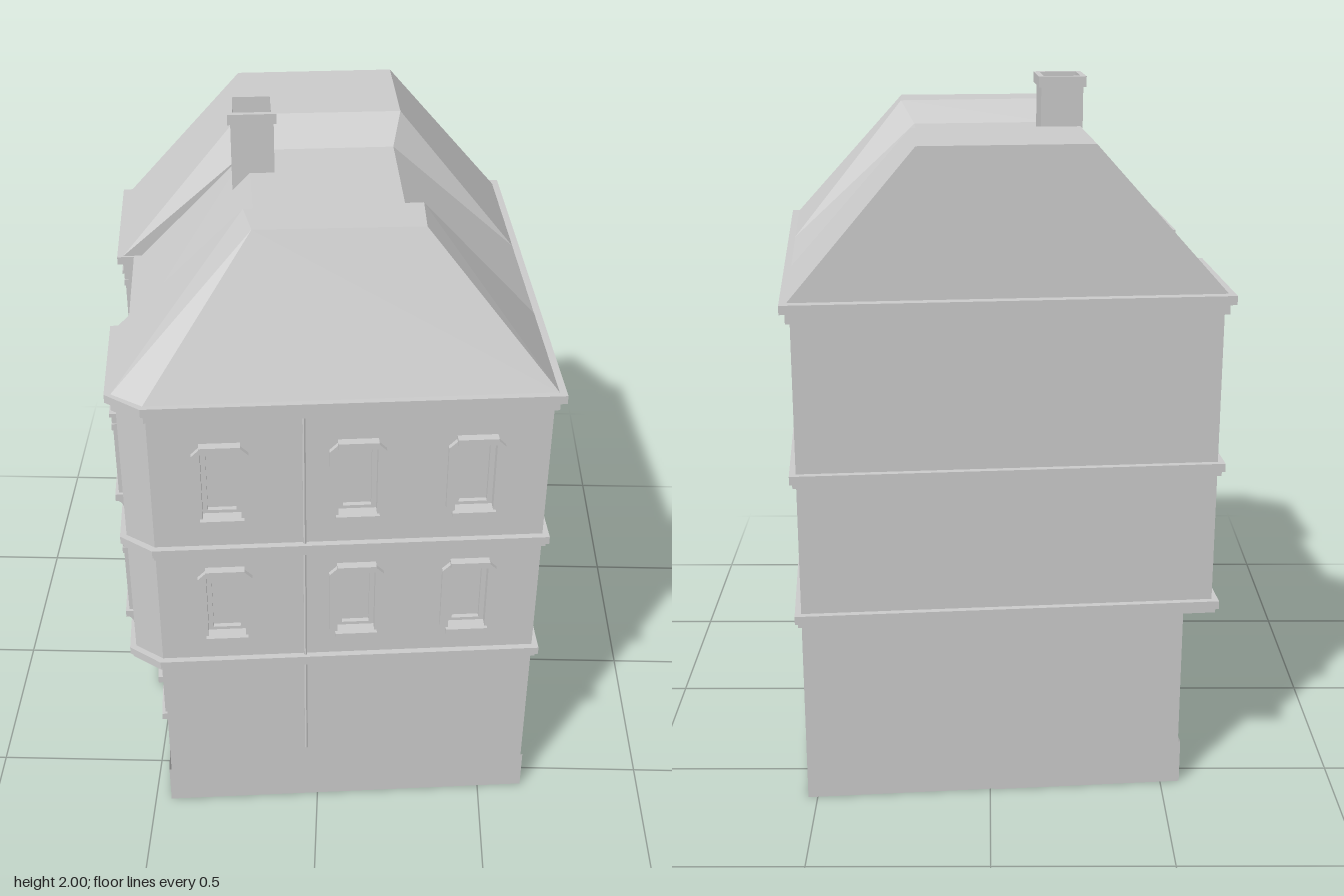
import * as THREE from 'three';

const grey = new THREE.MeshStandardMaterial({ color: 0xcccccc, flatShading: true });
const thin = new THREE.MeshStandardMaterial({ color: 0xcccccc, flatShading: true, side: THREE.DoubleSide });

function add(parent, name, geometry, x = 0, y = 0, z = 0, material = grey) {
  const mesh = new THREE.Mesh(geometry, material);
  mesh.name = name;
  mesh.position.set(x, y, z);
  parent.add(mesh);
  return mesh;
}
const box = (parent, name, w, h, d, x, y, z) => add(parent, name, new THREE.BoxGeometry(w, h, d), x, y, z);
const vectors = points => points.map(p => new THREE.Vector2(...p));
const rect = (Type, x, y, w, h) => new Type(vectors([
  [x - w / 2, y - h / 2], [x + w / 2, y - h / 2], [x + w / 2, y + h / 2], [x - w / 2, y + h / 2]]));
const extrude = (shape, depth) => new THREE.ExtrudeGeometry(shape, { depth, bevelEnabled: false, curveSegments: 4 });

// Upper floor plan as [x, z], grown by o: two shallow bays and a cut front corner
const plan = o => [
  [0.58 + o, 0.61 + o], [0.58 + o, -0.61 - o], [-0.58 - o, -0.61 - o],
  [-0.58 - o, -0.21 + o], [-0.53 - o, -0.21 + o], [-0.53 - o, 0.24 - o], [-0.58 - o, 0.24 - o],
  [-0.58 - o, 0.55 + 0.4 * o], [-0.5 - 0.4 * o, 0.61 + o],
];
const groundPlan = [[-0.5, 0.61], [0.58, 0.61], [0.58, -0.61], [-0.5, -0.61]];

function facesGeometry(faces) {
  const pos = [];
  for (const f of faces) for (let i = 1; i < f.length - 1; i++) pos.push(...f[0], ...f[i], ...f[i + 1]);
  const g = new THREE.BufferGeometry();
  g.setAttribute('position', new THREE.Float32BufferAttribute(pos, 3));
  g.computeVertexNormals();
  return g;
}

// Shell of walls along a plan; an open one leaves out the closing side
function walls(points, y0, y1, open = false) {
  const starts = open ? points.slice(0, -1) : points;
  return facesGeometry(starts.map(([x, z], i) => {
    const [u, v] = points[(i + 1) % points.length];
    return [[x, y0, z], [u, y0, v], [u, y1, v], [x, y1, z]];
  }));
}

// Flat ring around the building; it also closes the undersides of the bays
function ring(o, h) {
  const shape = new THREE.Shape(vectors(plan(o).map(([x, z]) => [x, -z])));
  shape.holes.push(rect(THREE.Path, 0.04, 0, 1.06, 1.2));
  return extrude(shape, h).rotateX(-Math.PI / 2);
}

// Front windows: cut-corner surround, sunken frame and pane, lintel and stepped sill
const windowXs = [-0.31, 0.06, 0.38], windowYs = [0.785, 1.21];

function frontWindow(parent, x, y) {
  const g = new THREE.Group();
  g.name = 'frontWindow';
  g.position.set(x, y, 0.61);
  const a = 0.077, b = 0.125, c = 0.025;
  const surround = new THREE.Shape(vectors([
    [-a + c, -b], [a - c, -b], [a, -b + c], [a, b - c], [a - c, b], [-a + c, b], [-a, b - c], [-a, -b + c]]));
  surround.holes.push(rect(THREE.Path, 0, 0, 0.106, 0.22));
  add(g, 'surround', extrude(surround, 0.044), 0, 0, -0.03);
  const frame = rect(THREE.Shape, 0, 0, 0.106, 0.22);
  frame.holes.push(rect(THREE.Path, 0, 0, 0.078, 0.2));
  add(g, 'frame', extrude(frame, 0.016), 0, 0, -0.03);
  add(g, 'pane', new THREE.PlaneGeometry(0.106, 0.22), 0, 0, -0.028, thin);
  box(g, 'lintel', 0.11, 0.02, 0.024, 0, 0.123, 0.012);
  box(g, 'sill', 0.12, 0.014, 0.026, 0, -0.117, 0.013);
  box(g, 'sillFoot', 0.095, 0.012, 0.02, 0, -0.129, 0.01);
  parent.add(g);
}

// Scrolled bracket: side profile with a hollow curve, top at y = 0
function bracket(parent, name, x, y, w, h, d) {
  const s = new THREE.Shape();
  s.moveTo(0, 0);
  s.lineTo(0, -h);
  s.lineTo(d * 0.3, -h);
  s.quadraticCurveTo(d * 0.35, -h * 0.35, d, -h * 0.25);
  s.lineTo(d, 0);
  add(parent, name, extrude(s, w).translate(0, 0, -w / 2).rotateY(-Math.PI / 2), x, y, 0);
}

// Group lying on the side facade: its x runs along the wall, its z points outwards
function onFacade(parent, name, wallX, y, z) {
  const g = new THREE.Group();
  g.name = name;
  g.position.set(wallX, y, z);
  g.rotation.y = -Math.PI / 2;
  parent.add(g);
  return g;
}

// Side window: posts, crossbars, hood and bracketed sill; y is the sill height
function sideWindow(parent, wallX, y, z, h) {
  const g = onFacade(parent, 'sideWindow', wallX, y, z);
  add(g, 'pane', new THREE.PlaneGeometry(0.12, h), 0, h / 2, 0.003);
  box(g, 'mullion', 0.012, h, 0.012, 0, h / 2, 0.006);
  box(g, 'transom', 0.12, 0.012, 0.012, 0, h * 0.68, 0.006);
  for (const s of [-1, 1]) {
    box(g, 'post', 0.028, h, 0.018, s * 0.072, h / 2, 0.009);
    box(g, 'postCap', 0.034, 0.02, 0.022, s * 0.072, h - 0.02, 0.011);
    bracket(g, 'sillBracket', s * 0.072, -0.015, 0.022, 0.045, 0.022);
  }
  box(g, 'head', 0.175, 0.025, 0.02, 0, h + 0.005, 0.01);
  box(g, 'hood', 0.19, 0.012, 0.025, 0, h + 0.022, 0.0125);
  box(g, 'sill', 0.19, 0.022, 0.028, 0, -0.006, 0.014);
}

function roofGeometry() {
  const at = (y, list) => list.map(([x, z]) => [x, y, z]);
  const a = at(1.475, [[-0.59, -0.61], [0.588, -0.61], [0.588, -0.186], [0.588, 0.213], [0.588, 0.618], [-0.505, 0.622],
    [-0.59, 0.56], [-0.59, 0.22], [-0.535, 0.22], [-0.535, -0.19], [-0.59, -0.19]]);
  const r = at(1.88, [[-0.226, -0.602], [0.243, -0.602], [0.245, -0.287], [-0.226, -0.29]]);
  const m = at(1.82, [[-0.206, -0.173], [0.215, -0.173], [0.213, 0.215], [-0.2, 0.218]]);
  const f = at(1.88, [[-0.227, 0.312], [0.25, 0.302], [0.244, 0.437], [-0.207, 0.43]]);
  return facesGeometry([
    // flat tops and the slopes between them
    [r[0], r[3], r[2], r[1]], [r[3], m[0], m[1], r[2]], [m[0], m[3], m[2], m[1]],
    [m[3], f[0], f[1], m[2]], [f[0], f[3], f[2], f[1]],
    // front and cut corner
    [f[3], a[5], a[4], f[2]], [f[3], a[6], a[5]],
    // bay side
    [f[0], a[7], a[6], f[3]], [m[3], a[7], f[0]], [m[3], a[8], a[7]], [m[0], a[9], a[8], m[3]],
    [a[10], a[9], m[0]], [r[3], a[10], m[0]], [r[0], a[0], a[10], r[3]],
    // back and plain side
    [r[0], r[1], a[1], a[0]], [r[1], r[2], a[2], a[1]], [r[2], m[1], a[2]],
    [m[1], m[2], a[3], a[2]], [m[2], f[1], a[3]], [f[1], f[2], a[4], a[3]],
  ]);
}

export function createModel() {
  const model = new THREE.Group();
  model.name = 'townHouse';
  const house = new THREE.Group();
  house.name = 'house';
  house.rotation.y = 0.084;
  model.add(house);

  // Walls; the upper front has window openings
  add(house, 'groundFloorWalls', walls(groundPlan, 0, 0.555), 0, 0, 0, thin);
  add(house, 'upperFloorWalls', walls(plan(0), 0.555, 1.475, true), 0, 0, 0, thin);
  const front = rect(THREE.Shape, 0.04, 1.015, 1.08, 0.92);
  for (const x of windowXs) {
    for (const y of windowYs) {
      front.holes.push(rect(THREE.Path, x, y, 0.106, 0.22));
      frontWindow(house, x, y);
    }
  }
  add(house, 'upperFrontWall', new THREE.ShapeGeometry(front), 0, 0, 0.61, thin);

  // Plinth round the front, the bay side and half of the back
  add(house, 'plinth', walls([[0.04, -0.614], [-0.506, -0.614], [-0.506, 0.618], [0.584, 0.618]], 0, 0.13, true),
    0, 0, 0, thin);

  // Block standing inside the hollow ground floor
  box(house, 'innerBlock', 0.2, 0.2, 0.2, 0, 0.1, 0);

  // Storey bands and eaves
  for (const y of [0.545, 0.96]) {
    add(house, 'bandLower', ring(0.01, 0.015), 0, y, 0);
    add(house, 'bandUpper', ring(0.018, 0.024), 0, y + 0.014, 0);
  }
  add(house, 'eavesMoulding', ring(0.012, 0.03), 0, 1.422, 0);
  add(house, 'eaves', ring(0.027, 0.025), 0, 1.451, 0);

  // Roof and chimney
  add(house, 'roof', roofGeometry(), 0, 0, 0, thin);
  add(house, 'chimneyShaft', walls([[-0.06, 0.06], [0.06, 0.06], [0.06, -0.06], [-0.06, -0.06]], 1.7, 1.985),
    -0.194, 0, -0.082, thin);
  const collar = rect(THREE.Shape, 0, 0, 0.136, 0.136);
  collar.holes.push(rect(THREE.Path, 0, 0, 0.106, 0.106));
  add(house, 'chimneyCollar', extrude(collar, 0.03).rotateX(-Math.PI / 2), -0.194, 1.97, -0.082);

  // Downpipe
  add(house, 'downpipe', new THREE.CylinderGeometry(0.005, 0.005, 1.24, 6), -0.085, 0.82, 0.614);

  // Side windows: one per bay and floor, two on the ground floor
  for (const y of [0.655, 1.085]) {
    for (const [x, z] of [[-0.58, -0.4], [-0.53, 0.015], [-0.58, 0.39]]) sideWindow(house, x, y, z, 0.25);
  }
  for (const z of [-0.36, 0.36]) sideWindow(house, -0.5, 0.2, z, 0.25);

  // Doorway with a stepped hood
  const door = onFacade(house, 'doorway', -0.5, 0, 0.015);
  box(door, 'doorLeaf', 0.13, 0.36, 0.01, 0, 0.22, 0.005);
  for (const s of [-1, 1]) {
    box(door, 'doorPanel', 0.045, 0.22, 0.014, s * 0.03, 0.24, 0.007);
    box(door, 'pilaster', 0.035, 0.42, 0.03, s * 0.09, 0.21, 0.015);
    box(door, 'pilasterBase', 0.045, 0.09, 0.042, s * 0.09, 0.045, 0.021);
    bracket(door, 'hoodBracket', s * 0.09, 0.49, 0.03, 0.08, 0.06);
  }
  box(door, 'fanlight', 0.14, 0.05, 0.012, 0, 0.425, 0.006);
  box(door, 'hoodLower', 0.23, 0.02, 0.065, 0, 0.496, 0.0325);
  box(door, 'hoodMiddle', 0.26, 0.016, 0.082, 0, 0.514, 0.041);
  box(door, 'hoodTop', 0.28, 0.02, 0.1, 0, 0.532, 0.05);
  box(door, 'lowerStep', 0.17, 0.025, 0.06, 0, 0.0125, 0.03);
  box(door, 'upperStep', 0.14, 0.025, 0.04, 0, 0.0375, 0.02);
  return model;
}
